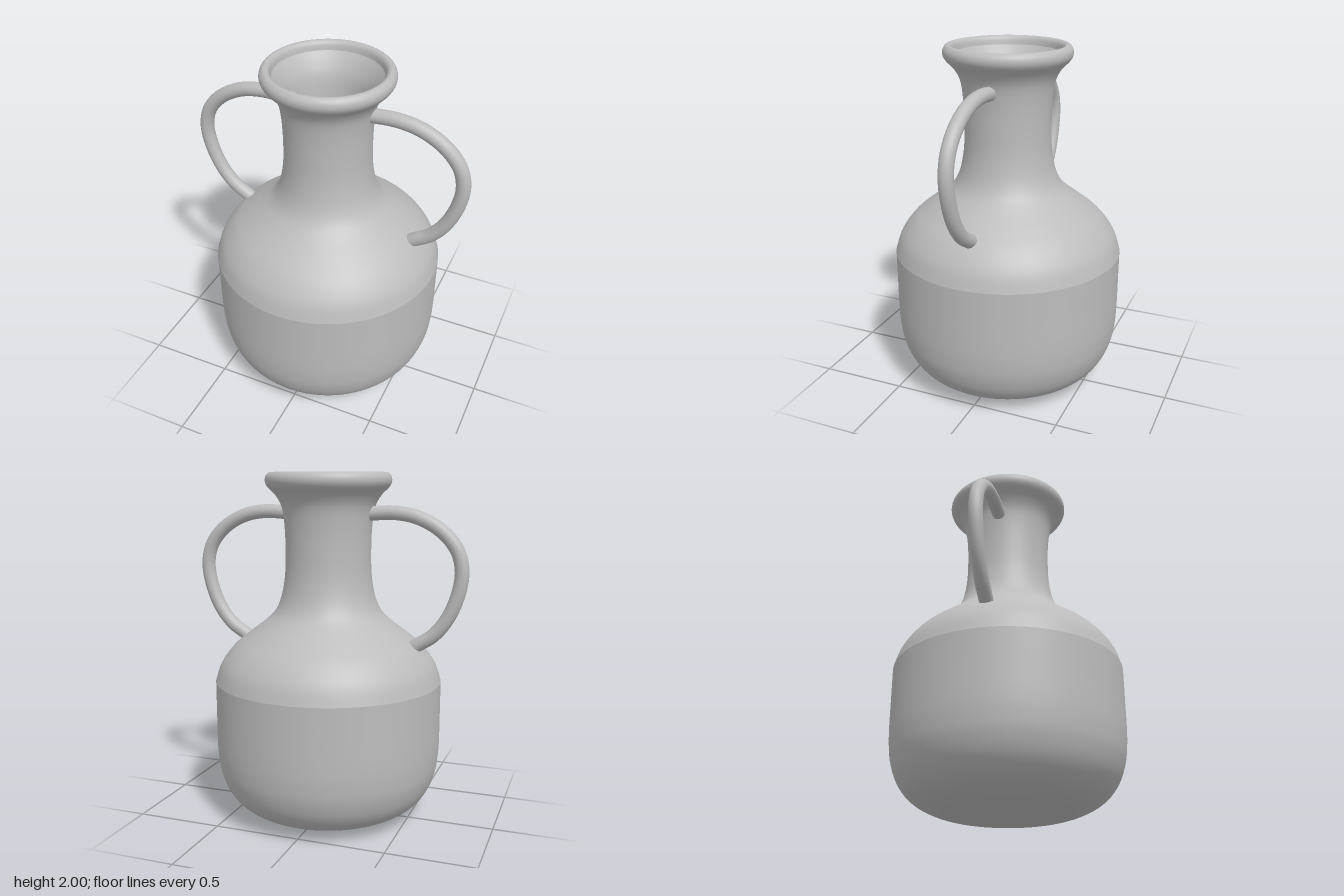
import * as THREE from 'three';

const clay = new THREE.MeshStandardMaterial({ color: 0xbcbcbc });
clay.name = 'plain grey clay';

// Smooth surface of revolution through a few [radius, height] points
function turned(name, points, steps) {
  const curve = new THREE.SplineCurve(points.map(([r, y]) => new THREE.Vector2(r, y)));
  const profile = curve.getPoints(steps);
  profile.forEach((p) => { p.x = Math.max(p.x, 0); });
  const mesh = new THREE.Mesh(new THREE.LatheGeometry(profile, 96), clay);
  mesh.name = name;
  return mesh;
}

// Round tube handle with closed ends; side is +1 or -1
function handle(name, side) {
  const path = [
    [0.19, 1.765], [0.28, 1.775], [0.4, 1.778], [0.53, 1.752], [0.66, 1.68],
    [0.745, 1.58], [0.774, 1.47], [0.757, 1.34], [0.7, 1.2], [0.62, 1.1],
    [0.54, 1.047], [0.47, 1.0],
  ];
  const curve = new THREE.CatmullRomCurve3(path.map(([x, y]) => new THREE.Vector3(side * x, y, 0)));
  const radius = 0.04;
  const group = new THREE.Group();
  group.name = name;
  const tube = new THREE.Mesh(new THREE.TubeGeometry(curve, 64, radius, 20), clay);
  tube.name = name + 'Tube';
  group.add(tube);
  for (const t of [0, 1]) {
    const cap = new THREE.Mesh(new THREE.CircleGeometry(radius, 20), clay);
    const outward = curve.getTangentAt(t).multiplyScalar(t ? 1 : -1);
    cap.position.copy(curve.getPointAt(t));
    cap.quaternion.setFromUnitVectors(new THREE.Vector3(0, 0, 1), outward);
    cap.name = name + 'End';
    group.add(cap);
  }
  return group;
}

export function createModel() {
  const vase = new THREE.Group();
  vase.name = 'vase';

  // Belly: flat base, rounded bottom corner, upright wall
  vase.add(turned('belly', [
    [0, 0], [0.15, 0.002], [0.3, 0.009], [0.42, 0.03], [0.53, 0.085], [0.6, 0.165],
    [0.64, 0.265], [0.655, 0.36], [0.66, 0.46], [0.66, 0.64], [0.66, 0.81],
  ], 60));

  // Shoulder, neck and flared lip, starting from a soft edge above the belly
  vase.add(turned('shoulderNeckAndLip', [
    [0.66, 0.81], [0.625, 0.91], [0.555, 1.005], [0.47, 1.077], [0.38, 1.145], [0.32, 1.2],
    [0.285, 1.26], [0.262, 1.34], [0.248, 1.45], [0.246, 1.6], [0.252, 1.72],
    [0.267, 1.81], [0.3, 1.872], [0.342, 1.915], [0.358, 1.945], [0.356, 1.975],
    [0.338, 1.997], [0.318, 1.998], [0.303, 1.982], [0.296, 1.95],
  ], 110));

  // Hollow inside, from the lip down to the floor
  vase.add(turned('inside', [
    [0.296, 1.95], [0.262, 1.9], [0.23, 1.83], [0.215, 1.73], [0.208, 1.6], [0.21, 1.45],
    [0.225, 1.33], [0.25, 1.24], [0.29, 1.17], [0.36, 1.105], [0.45, 1.035], [0.53, 0.97],
    [0.59, 0.89], [0.62, 0.8], [0.62, 0.46], [0.6, 0.27], [0.56, 0.18], [0.49, 0.11],
    [0.4, 0.065], [0.28, 0.045], [0, 0.04],
  ], 100));

  vase.add(handle('leftHandle', 1), handle('rightHandle', -1));
  return vase;
}
